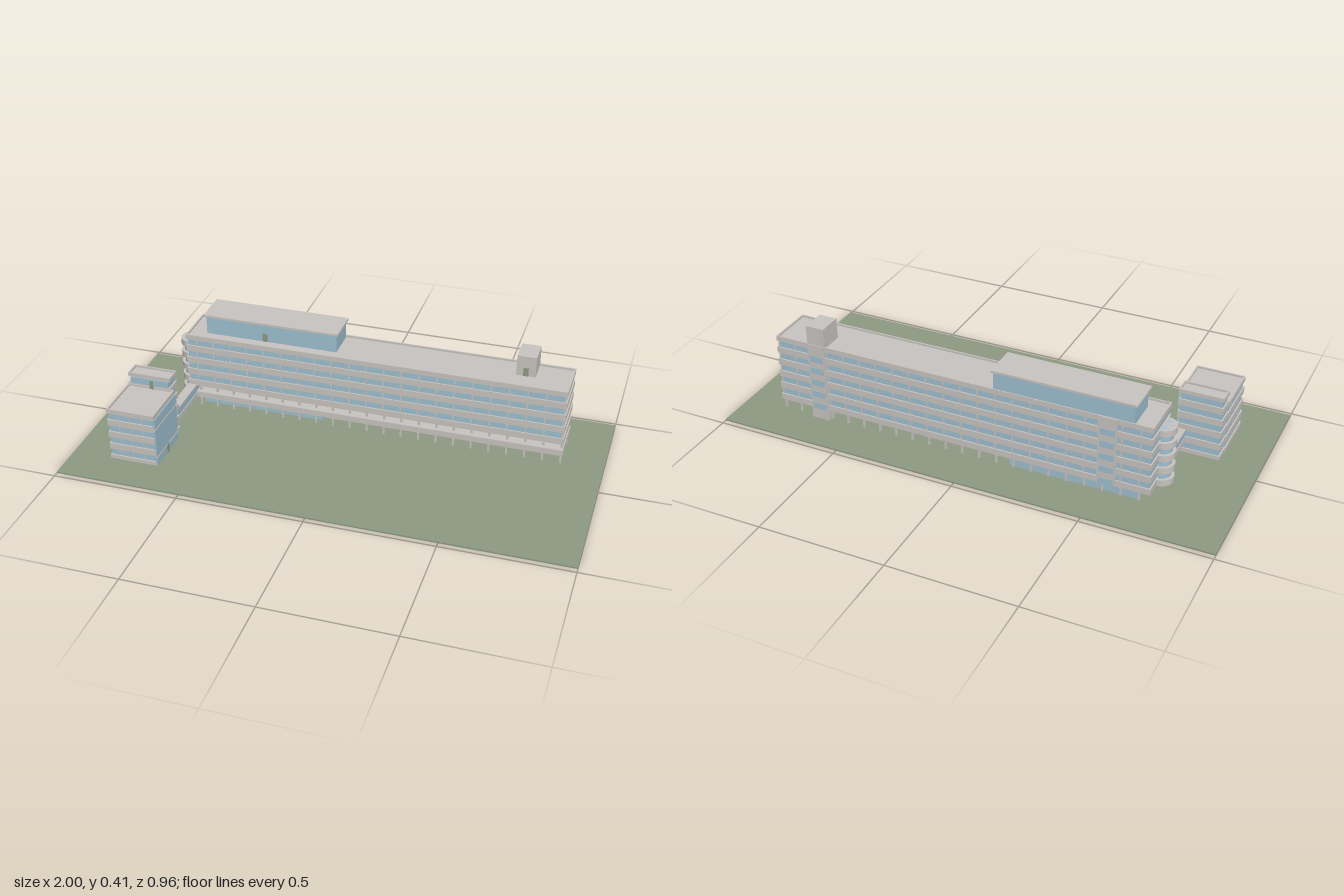
import * as THREE from 'three';

const concrete = new THREE.MeshStandardMaterial({ color: 0xc8c4c0 });
concrete.name = 'concrete';
const glass = new THREE.MeshStandardMaterial({ color: 0x9fbfd0 });
glass.name = 'glass';
const green = new THREE.MeshStandardMaterial({ color: 0x8e9a82 });
green.name = 'green';

const GROUND = 0.006, FLOOR = 0.053, SILL = 0.022, WINDOW = 0.027, RECESS = 0.006;
const sillY = (k) => SILL + FLOOR * k;

// Box given by its extents on each axis
function box(parent, name, mat, [x0, x1], [y0, y1], [z0, z1]) {
  const m = new THREE.Mesh(new THREE.BoxGeometry(x1 - x0, y1 - y0, z1 - z0), mat);
  m.position.set((x0 + x1) / 2, (y0 + y1) / 2, (z0 + z1) / 2);
  m.name = name;
  parent.add(m);
  return m;
}

// Roof parapet: four thin walls round a sunken roof
function parapet(parent, [x0, x1], [y0, y1], [z0, z1], t = 0.006) {
  box(parent, 'parapet', concrete, [x0, x1], [y0, y1], [z1 - t, z1]);
  box(parent, 'parapet', concrete, [x0, x1], [y0, y1], [z0, z0 + t]);
  box(parent, 'parapet', concrete, [x0, x0 + t], [y0, y1], [z0 + t, z1 - t]);
  box(parent, 'parapet', concrete, [x1 - t, x1], [y0, y1], [z0 + t, z1 - t]);
}

// Concrete spandrels with recessed window bands for storeys k0..k1
function bandedBlock(parent, x, z, bottom, top, k0, k1, galleryZ) {
  let y = bottom;
  for (let k = k0; k <= k1; k++) {
    box(parent, 'spandrel', concrete, x, [y, sillY(k)], z);
    y = sillY(k) + WINDOW;
    const front = k === k0 && galleryZ !== undefined ? galleryZ : z[1] - RECESS;
    box(parent, 'windowBand', glass, [x[0] + RECESS, x[1] - RECESS], [sillY(k), y], [z[0] + RECESS, front]);
  }
  box(parent, 'roofSlab', concrete, x, [y, top - 0.008], z);
  parapet(parent, x, [top - 0.008, top], z);
}

function mainBlock() {
  const g = new THREE.Group();
  g.name = 'mainBlock';
  const x = [-0.7, 0.84], z = [-0.315, -0.127];
  bandedBlock(g, x, z, 0.05, 0.335, 1, 5, -0.17);

  // Columns under the slab, gallery posts and window piers
  for (let i = 0; i < 22; i++) {
    const cx = 0.832 - i * 0.0708, w = 0.004;
    for (const cz of [-0.148, -0.222, -0.298])
      box(g, 'column', concrete, [cx - w, cx + w], [GROUND, 0.05], [cz - w, cz + w]);
    box(g, 'galleryPost', concrete, [cx - w, cx + w], [sillY(1), sillY(1) + WINDOW], [-0.152, -0.144]);
    for (let k = 1; k <= 5; k++) {
      const y = [sillY(k), sillY(k) + WINDOW];
      if (k > 1) box(g, 'pier', concrete, [cx - 0.003, cx + 0.003], y, [-0.134, -0.13]);
      box(g, 'pier', concrete, [cx - 0.003, cx + 0.003], y, [-0.312, -0.308]);
    }
  }

  // Glazed entrance hall and stair core between the columns
  box(g, 'entranceHall', glass, [-0.65, -0.14], [GROUND, 0.05], [-0.295, -0.17]);
  box(g, 'stairCore', concrete, [0.625, 0.7], [GROUND, 0.05], [-0.315, -0.216]);
  box(g, 'coreGlazing', glass, [0.63, 0.695], [GROUND, 0.05], [-0.216, -0.212]);

  // Rear stair strips with windows on the half landings
  for (const [cx, bottom] of [[0.663, GROUND], [-0.53, 0.05]]) {
    box(g, 'stairStrip', concrete, [cx - 0.036, cx + 0.036], [bottom, 0.335], [-0.318, -0.305]);
    for (let k = 1; k <= 5; k++) {
      const y = sillY(k) - 0.026;
      box(g, 'stairWindow', glass, [cx - 0.028, cx + 0.028], [y, y + 0.026], [-0.3195, -0.317]);
    }
  }

  // Rooftop storey and stair head
  box(g, 'penthouse', glass, [-0.627, -0.083], [0.325, 0.402], [-0.311, -0.178]);
  box(g, 'penthouseRoof', concrete, [-0.636, -0.075], [0.402, 0.411], [-0.315, -0.17]);
  box(g, 'penthouseDoor', green, [-0.39, -0.37], [0.327, 0.362], [-0.178, -0.176]);
  box(g, 'stairHead', concrete, [0.625, 0.7], [0.325, 0.411], [-0.315, -0.216]);
  box(g, 'stairHeadDoor', green, [0.652, 0.672], [0.327, 0.362], [-0.216, -0.214]);
  return g;
}

// Half-round end balconies stacked on the left end wall
function endStair() {
  const g = new THREE.Group();
  g.name = 'endStair';
  const half = (name, mat, r, y0, y1) => {
    const m = new THREE.Mesh(new THREE.CylinderGeometry(r, r, y1 - y0, 24, 1, false, Math.PI, Math.PI), mat);
    m.position.set(-0.7, (y0 + y1) / 2, -0.2);
    m.name = name;
    g.add(m);
  };
  for (let k = 1; k <= 5; k++) half('balcony', concrete, 0.048, k === 1 ? 0.05 : sillY(k - 1) + WINDOW, sillY(k));
  half('stairGlass', glass, 0.036, 0.055, sillY(5));
  return g;
}

// Enclosed bridge joining the two buildings
function bridge() {
  const g = new THREE.Group();
  g.name = 'bridge';
  const x = [-0.703, -0.665], z = [0.055, -0.13].reverse();
  box(g, 'bridgeFloor', concrete, x, [0.05, 0.07], z);
  box(g, 'bridgeGlass', glass, [x[0] + 0.003, x[1] - 0.003], [0.07, 0.101], [-0.17, 0.064]);
  box(g, 'bridgeRoof', concrete, x, [0.101, 0.107], [z[0], 0.062]);
  return g;
}

function annex() {
  const g = new THREE.Group();
  g.name = 'annex';
  // Taller rear part and lower front part
  bandedBlock(g, [-0.84, -0.665], [0.061, 0.127], GROUND, 0.277, 0, 4);
  bandedBlock(g, [-0.843, -0.65], [0.125, 0.33], GROUND, 0.228, 0, 3);

  // Glazed right side with thin floor edges
  box(g, 'sideGlazing', glass, [-0.652, -0.646], [GROUND, 0.21], [0.127, 0.328]);
  for (const y of [0.04, 0.163])
    box(g, 'floorEdge', concrete, [-0.65, -0.644], [y, y + 0.005], [0.127, 0.33]);
  box(g, 'sideDoor', green, [-0.647, -0.644], [GROUND, 0.046], [0.218, 0.235]);

  // Roof terrace glazing and door
  box(g, 'terraceGlazing', glass, [-0.83, -0.672], [0.234, 0.261], [0.12, 0.13]);
  box(g, 'terraceDoor', green, [-0.75, -0.735], [0.22, 0.255], [0.13, 0.132]);

  // Window piers on the front and left sides
  for (let k = 0; k < 4; k++) {
    const y = [sillY(k), sillY(k) + WINDOW];
    for (const cx of [-0.795, -0.747, -0.698])
      box(g, 'pier', concrete, [cx - 0.002, cx + 0.002], y, [0.323, 0.326]);
    for (const cz of [0.175, 0.227, 0.279])
      box(g, 'pier', concrete, [-0.839, -0.836], y, [cz - 0.002, cz + 0.002]);
  }
  return g;
}

export function createModel() {
  const model = new THREE.Group();
  model.name = 'officeComplex';
  box(model, 'lawn', green, [-1, 1], [0, GROUND], [-0.48, 0.48]);
  model.add(mainBlock(), endStair(), bridge(), annex());
  return model;
}
